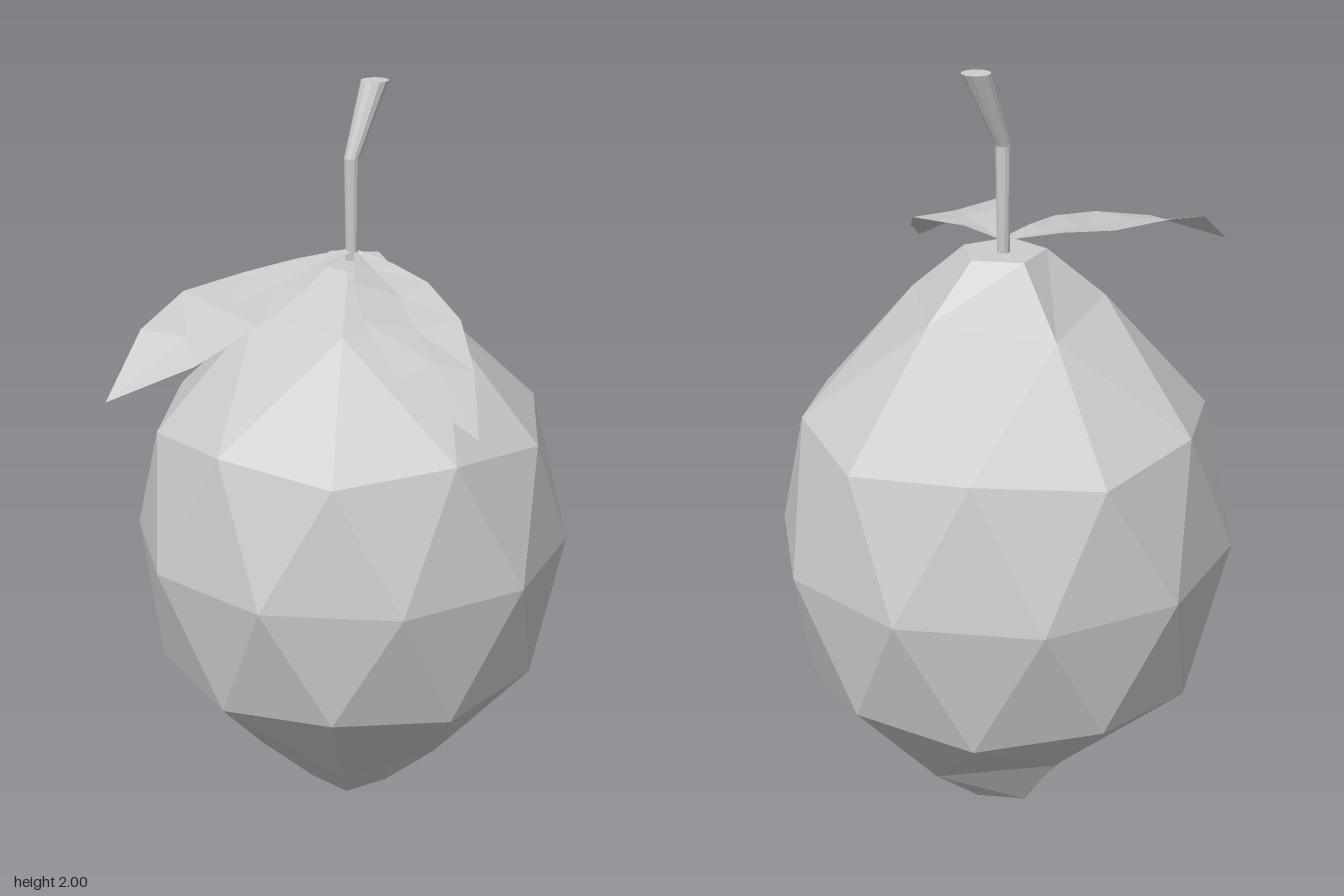
import * as THREE from 'three';

const gray = new THREE.MeshStandardMaterial({ color: 0xcccccc, side: THREE.DoubleSide });
gray.name = 'paleGray';

// Faceted mesh from a list of triangles, each holding three points
function facetedMesh(name, triangles) {
  const geometry = new THREE.BufferGeometry().setFromPoints(triangles.flat());
  geometry.computeVertexNormals();
  const mesh = new THREE.Mesh(geometry, gray);
  mesh.name = name;
  return mesh;
}

// Horizontal ring of points around (x, y, z)
function ring(count, radius, y, x, z, startDegrees = 0) {
  return Array.from({ length: count }, (_, i) => {
    const a = (startDegrees + (360 * i) / count) * Math.PI / 180;
    return new THREE.Vector3(x + radius * Math.cos(a), y, z + radius * Math.sin(a));
  });
}

// Fruit: faceted upper half, mirrored below the equator
function makeFruit() {
  const cx = 0.15, cz = -0.07, mid = 0.77;
  const tip = ring(5, 0.11, 1.54, cx, cz);
  const neck = ring(5, 0.26, 1.41, cx, cz);
  neck[4].set(0.2, 1.37, -0.3); // small dent at the back
  const cornerRing = ring(5, 0.53, 1.1, cx, cz);
  const middleRing = ring(5, 0.515, 1.13, cx, cz, 36);
  const shoulder = cornerRing.flatMap((p, i) => [p, middleRing[i]]);
  const equator = ring(10, 0.594, mid, cx, cz, 18);
  const centre = new THREE.Vector3(cx, 1.54, cz);

  const upper = [];
  for (let k = 0; k < 5; k++) {
    const n = (k + 1) % 5;
    const s0 = shoulder[2 * k], s1 = shoulder[2 * k + 1], s2 = shoulder[2 * n];
    upper.push(
      [tip[k], centre, tip[n]],
      [neck[k], tip[k], neck[n]], [tip[k], tip[n], neck[n]],
      [s0, neck[k], s1], [neck[k], neck[n], s1], [s1, neck[n], s2]
    );
  }
  for (let j = 0; j < 10; j++) {
    const n = (j + 1) % 10;
    upper.push([shoulder[j], shoulder[n], equator[j]], [equator[j], shoulder[n], equator[n]]);
  }
  const flip = (p) => new THREE.Vector3(p.x, 2 * mid - p.y, p.z);
  const lower = upper.map(([a, b, c]) => [flip(a), flip(c), flip(b)]);
  return facetedMesh('fruit', [...upper, ...lower]);
}

// Stem: bent tube that widens towards its cut end
function makeStem() {
  const sides = 12;
  const rings = [
    ring(sides, 0.016, 1.5, 0.155, -0.075),
    ring(sides, 0.02, 1.81, 0.153, -0.075),
    ring(sides, 0.037, 2.0, 0.24, -0.072)
  ];
  const top = new THREE.Vector3(0.24, 2.0, -0.072);
  const triangles = [];
  for (let i = 0; i < sides; i++) {
    const n = (i + 1) % sides;
    for (let r = 0; r < 2; r++) {
      const low = rings[r], up = rings[r + 1];
      triangles.push([low[i], up[i], low[n]], [up[i], up[n], low[n]]);
    }
    triangles.push([rings[2][i], top, rings[2][n]]);
  }
  return facetedMesh('stem', triangles);
}

// Leaf: rows of edge, midrib, edge points from the stalk to the tip
function makeLeaf(name, rows) {
  const points = rows.map((row) => row.map((p) => new THREE.Vector3(...p)));
  const triangles = [];
  for (let r = 0; r + 1 < points.length; r++) {
    for (let c = 0; c < 2; c++) {
      const a = points[r][c], b = points[r][c + 1];
      const d = points[r + 1][c], e = points[r + 1][c + 1];
      triangles.push([a, b, d]);
      if (!d.equals(e)) triangles.push([b, e, d]);
    }
  }
  return facetedMesh(name, triangles);
}

export function createModel() {
  const model = new THREE.Group();
  model.name = 'fruitWithLeaves';

  const sideTip = [-0.72, 1.375, -0.08];
  const sideLeaf = makeLeaf('sideLeaf', [
    [[0.15, 1.57, -0.06], [0.15, 1.565, -0.07], [0.15, 1.57, -0.08]],
    [[0.0, 1.565, -0.02], [0.0, 1.555, -0.07], [0.0, 1.565, -0.13]],
    [[-0.14, 1.545, 0.03], [-0.14, 1.535, -0.07], [-0.14, 1.55, -0.18]],
    [[-0.34, 1.505, 0.065], [-0.34, 1.515, -0.065], [-0.34, 1.54, -0.2]],
    [[-0.55, 1.45, 0.05], [-0.47, 1.48, -0.06], [-0.53, 1.495, -0.155]],
    [sideTip, sideTip, sideTip]
  ]);

  const frontTip = [-0.24, 1.33, 0.66];
  const frontLeaf = makeLeaf('frontLeaf', [
    [[0.155, 1.57, -0.05], [0.145, 1.565, -0.05], [0.135, 1.57, -0.05]],
    [[0.13, 1.565, 0.09], [0.08, 1.555, 0.07], [0.03, 1.57, 0.04]],
    [[0.11, 1.545, 0.22], [0.0, 1.535, 0.22], [-0.07, 1.565, 0.13]],
    [[0.03, 1.5, 0.39], [-0.1, 1.5, 0.35], [-0.21, 1.53, 0.28]],
    [[-0.08, 1.425, 0.52], [-0.16, 1.455, 0.46], [-0.29, 1.44, 0.46]],
    [frontTip, frontTip, frontTip]
  ]);

  model.add(makeFruit(), makeStem(), sideLeaf, frontLeaf);
  return model;
}
